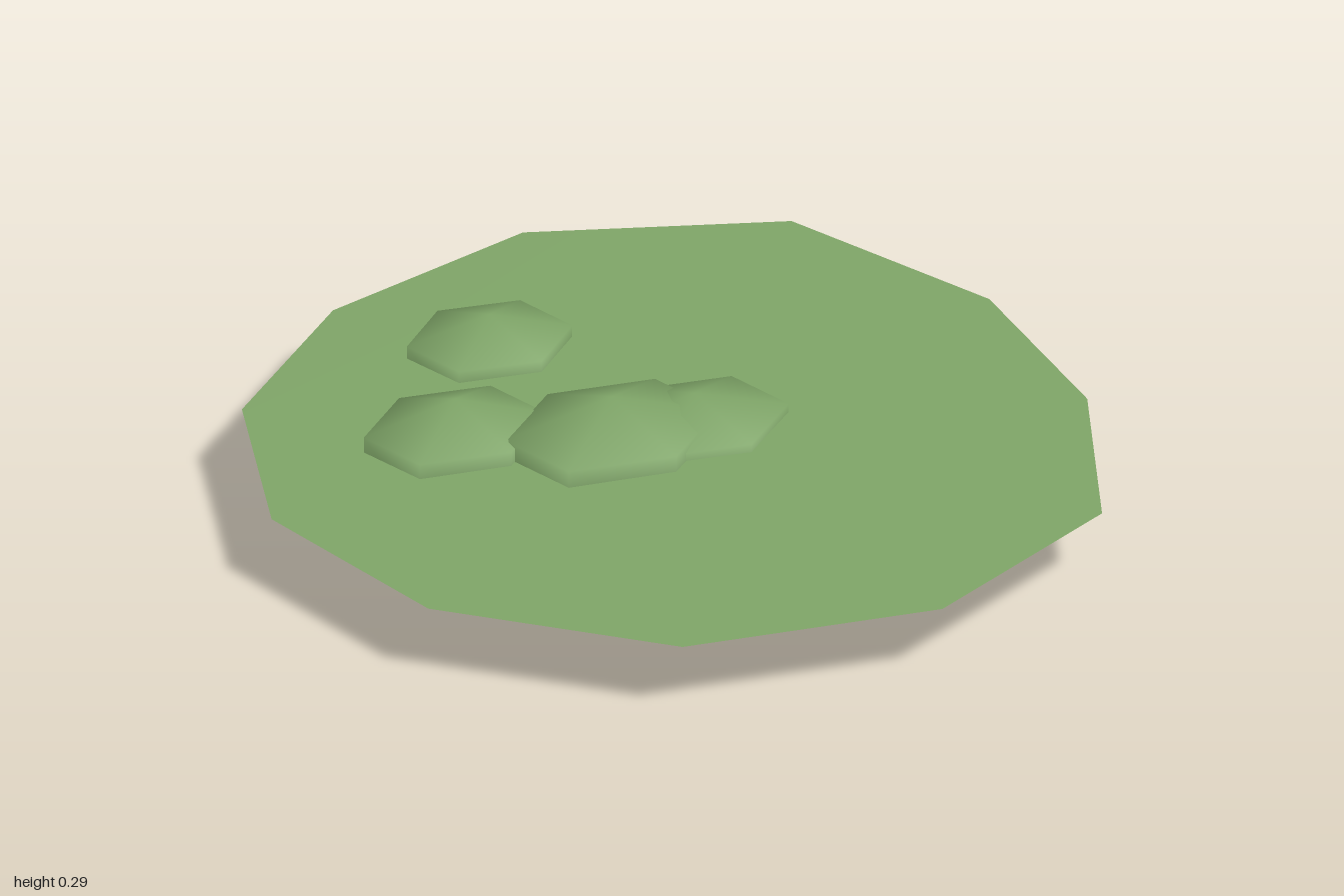
import * as THREE from 'three';

// Pad outline as [x, z] corners
const OUTLINE = [
  [-0.13, -1], [0.44, -1], [0.915, -0.64], [0.975, -0.06], [0.8, 0.45], [0.44, 0.89],
  [-0.14, 1], [-0.69, 0.75], [-0.975, 0.23], [-0.93, -0.33], [-0.61, -0.775],
];

// Shallow domed sheet: a fan of triangles around a raised centre
function padGeometry() {
  const n = OUTLINE.length;
  const positions = [0, 0.18, 0];
  const index = [];
  OUTLINE.forEach(([x, z], i) => {
    positions.push(x, 0.169, z);
    index.push(0, ((i + 1) % n) + 1, i + 1);
  });
  const geometry = new THREE.BufferGeometry();
  geometry.setAttribute('position', new THREE.Float32BufferAttribute(positions, 3));
  geometry.setIndex(index);
  geometry.computeVertexNormals();
  return geometry;
}

export function createModel() {
  const group = new THREE.Group();
  const green = new THREE.MeshStandardMaterial({ color: 0x7ea467, side: THREE.DoubleSide });
  green.name = 'leaf green';

  const pad = new THREE.Mesh(padGeometry(), green);
  pad.name = 'pad';
  group.add(pad);

  // Six-sided clumps: centre x, y, z, then half width, half height, half depth
  const clumps = [
    [-0.125, 0.144, -0.095, 0.226, 0.143, 0.21],
    [-0.37, 0.143, -0.34, 0.19, 0.131, 0.183],
    [-0.005, 0.147, -0.625, 0.17, 0.108, 0.17],
    [0.063, 0.138, -0.03, 0.197, 0.118, 0.186],
  ];
  const sphere = new THREE.SphereGeometry(1, 6, 3).rotateY(Math.PI / 2);
  const ring = Math.sin(Math.PI / 3); // widest ring of the three-band sphere
  clumps.forEach(([x, y, z, w, h, d], i) => {
    const clump = new THREE.Mesh(sphere, green);
    clump.name = `clump${i + 1}`;
    clump.position.set(x, y, z);
    clump.scale.set(w / (ring * ring), h, d / ring);
    group.add(clump);
  });

  return group;
}
